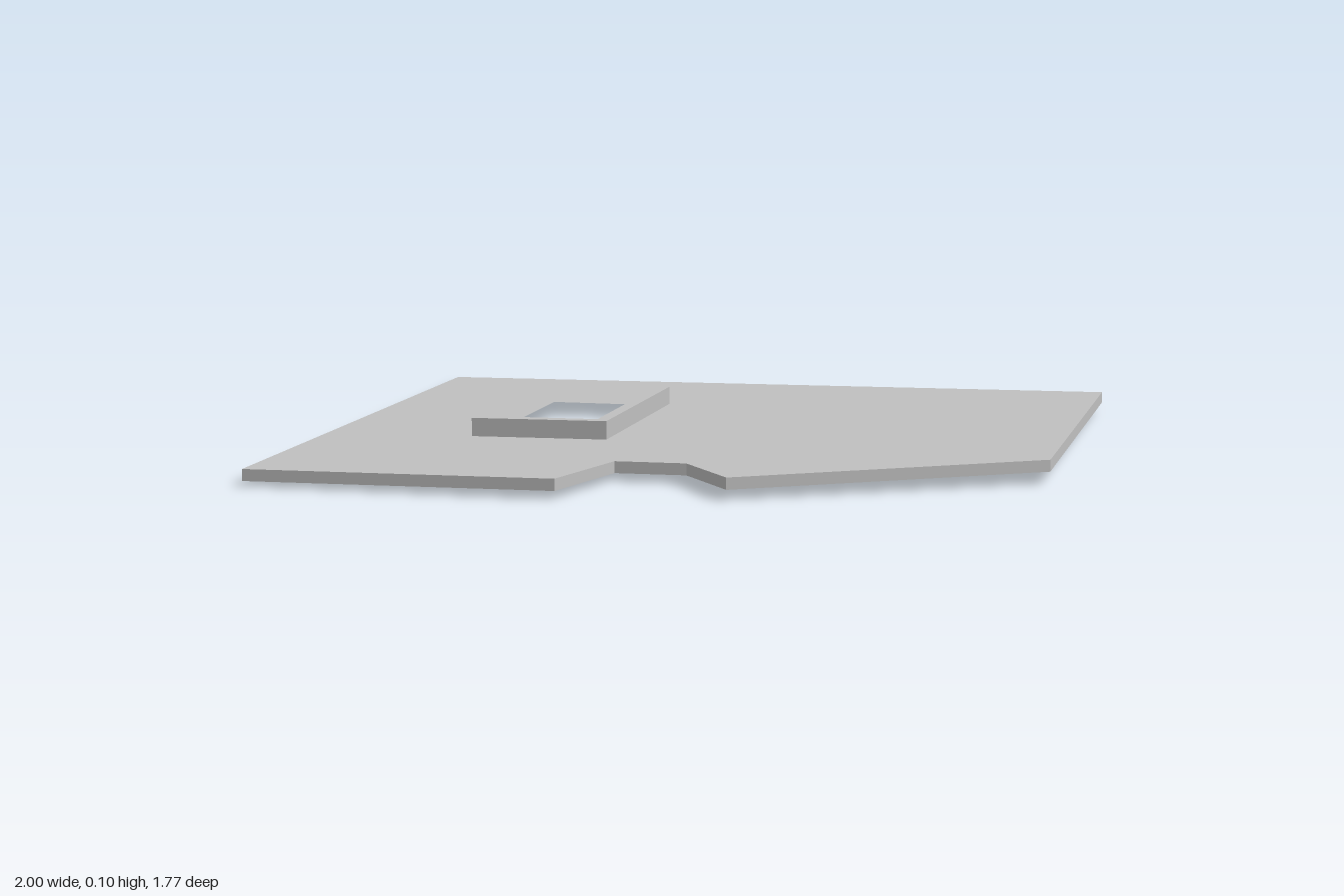
import * as THREE from 'three';

// Outlines as [x, z] corners
const SLAB = [[-1, -0.875], [0.99, -0.89], [1, 0.36], [0.25, 0.78], [0.1, 0.59], [-0.09, 0.59], [-0.165, 0.877], [-0.99, 0.885]];
const CURB = [[-0.588, -0.445], [-0.208, -0.432], [-0.207, 0.25], [-0.583, 0.257]];
const OPENING = [[-0.55, -0.407], [-0.245, -0.395], [-0.24, 0.218], [-0.545, 0.218]];

const THICKNESS = 0.031;
const CURB_HEIGHT = 0.05;

const toPoints = (corners) => corners.map(([x, z]) => new THREE.Vector2(x, -z));

// Vertical prism with the opening cut out, tipped along the slope of the floor
function slopedPrism(outline, bottom, height) {
  const shape = new THREE.Shape(toPoints(outline));
  shape.holes.push(new THREE.Path(toPoints(OPENING)));
  const geometry = new THREE.ExtrudeGeometry(shape, { depth: height, bevelEnabled: false });
  geometry.rotateX(-Math.PI / 2);
  const p = geometry.attributes.position;
  for (let i = 0; i < p.count; i++) {
    p.setY(i, p.getY(i) + bottom + 0.0172 + 0.011 * p.getX(i) + 0.007 * p.getZ(i));
  }
  geometry.computeVertexNormals();
  return geometry;
}

export function createModel() {
  const group = new THREE.Group();
  group.name = 'slopedFloorSlab';
  const grey = new THREE.MeshStandardMaterial({ color: 0xc0c0c0 });
  grey.name = 'light grey';

  const add = (name, geometry) => {
    const mesh = new THREE.Mesh(geometry, grey);
    mesh.name = name;
    group.add(mesh);
  };

  // Flat slab with a notched front edge
  add('slab', slopedPrism(SLAB, 0, THICKNESS));
  // Raised rim around the opening
  add('openingCurb', slopedPrism(CURB, THICKNESS, CURB_HEIGHT));

  return group;
}
